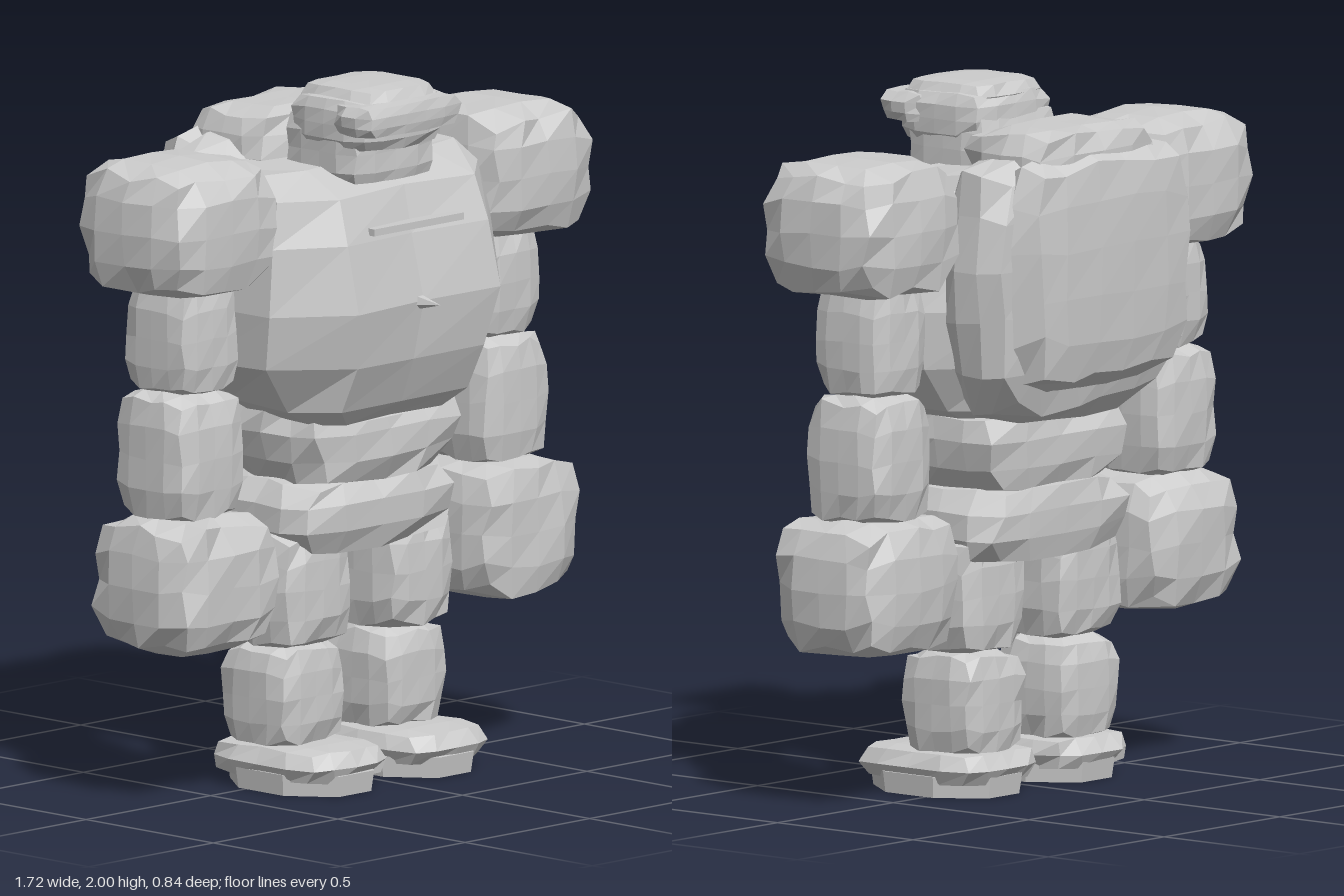
import * as THREE from 'three';
import { mergeVertices } from 'three/addons/utils/BufferGeometryUtils.js';

// Small seeded generator for the chipped surfaces
function seeded(seed) {
  let s = seed * 7919 + 17;
  return () => {
    s = (s * 16807) % 2147483647;
    return s / 2147483647;
  };
}

// Stone filling the given x, y and z ranges: calm faces, ragged edges that jut out a little
function rockGeometry([x0, x1], [y0, y1], [z0, z1], seed, o = {}) {
  const { seg = [4, 4, 4], k = 4.5, rough = 0.08, shape } = o;
  const rand = seeded(seed);
  for (let i = 0; i < 5; i++) rand();
  let g = new THREE.BoxGeometry(2, 2, 2, ...seg);
  g.deleteAttribute('uv');
  g.deleteAttribute('normal');
  g = mergeVertices(g);
  const p = g.attributes.position;
  const v = new THREE.Vector3();
  for (let i = 0; i < p.count; i++) {
    v.fromBufferAttribute(p, i);
    const r = Math.pow(Math.abs(v.x) ** k + Math.abs(v.y) ** k + Math.abs(v.z) ** k, 1 / k);
    const edge = [v.x, v.y, v.z].filter((c) => Math.abs(c) > 0.99).length > 1;
    const a = edge ? rough : rough * 0.3;
    v.multiplyScalar((edge ? 1 + rough * 0.5 : 1) / r);
    v.x += (rand() - 0.5) * 2 * a;
    v.y += (rand() - 0.5) * 2 * a;
    v.z += (rand() - 0.5) * 2 * a;
    v.set(
      x0 + ((v.x + 1) / 2) * (x1 - x0),
      y0 + ((v.y + 1) / 2) * (y1 - y0),
      z0 + ((v.z + 1) / 2) * (z1 - z0));
    if (shape) shape(v);
    p.setXYZ(i, v.x, v.y, v.z);
  }
  g = g.toNonIndexed();
  g.computeVertexNormals();
  return g;
}

// Closed skin over rings of points, listed from bottom to top
function loft(rings) {
  const n = rings[0].length;
  const pos = rings.flat(2);
  const idx = [];
  for (let r = 0; r < rings.length - 1; r++) {
    for (let i = 0; i < n; i++) {
      const a = r * n + i, b = r * n + ((i + 1) % n);
      idx.push(a, b, b + n, a, b + n, a + n);
    }
  }
  const top = (rings.length - 1) * n;
  for (let i = 1; i < n - 1; i++) {
    idx.push(0, i + 1, i);
    idx.push(top, top + i, top + i + 1);
  }
  let g = new THREE.BufferGeometry();
  g.setAttribute('position', new THREE.Float32BufferAttribute(pos, 3));
  g.setIndex(idx);
  g = g.toNonIndexed();
  g.computeVertexNormals();
  return g;
}

export function createModel() {
  const model = new THREE.Group();
  model.name = 'stoneGolem';
  const stone = new THREE.MeshStandardMaterial({ color: 0xcccccc, flatShading: true });
  stone.name = 'stone grey';

  const add = (name, geometry) => {
    const mesh = new THREE.Mesh(geometry, stone);
    mesh.name = name;
    model.add(mesh);
    return mesh;
  };
  const rock = (name, x, y, z, seed, o) => add(name, rockGeometry(x, y, z, seed, o));

  // Chest rings: [y, half width, half front width, front z, side z, back z]
  const chestRows = [
    [1.05, 0.25, 0.2, 0.22, 0.1, -0.16],
    [1.1, 0.34, 0.25, 0.27, 0.11, -0.19],
    [1.23, 0.46, 0.26, 0.32, 0.14, -0.22],
    [1.39, 0.48, 0.29, 0.35, 0.15, -0.24],
    [1.58, 0.455, 0.29, 0.315, 0.15, -0.23],
    [1.71, 0.43, 0.28, 0.28, 0.14, -0.2],
    [1.77, 0.4, 0.24, 0.11, 0.06, -0.16],
  ];
  const rand = seeded(31);
  add('chest', loft(chestRows.map(([y, w, f, zf, zs, zb]) => {
    const j = () => (rand() - 0.5) * 0.02;
    return [[-f, zf + 0.01], [0, zf - 0.01], [f, zf], [w, zs], [w, -0.08], [f, zb], [-f, zb], [-w, -0.08], [-w, zs + 0.05]]
      .map(([x, z]) => [x + j(), y + j() * 0.6, z + j()]);
  })));

  // Chest stud and bar
  const stud = add('chestStud', new THREE.ConeGeometry(0.03, 0.12, 5));
  stud.rotation.x = Math.PI / 2;
  stud.position.set(-0.005, 1.39, 0.36);
  const bar = add('chestBar', new THREE.BoxGeometry(0.36, 0.02, 0.05));
  bar.position.set(-0.005, 1.61, 0.31);

  // Back shell: rim slab, domed plate and the hump behind the head
  const taperLow = (v) => {
    const t = THREE.MathUtils.clamp((1.4 - v.y) / 0.36, 0, 1);
    v.x *= 1 - 0.22 * t * t;
    v.z += 0.04 * t * t;
  };
  rock('backRim', [-0.43, 0.44], [1.06, 1.83], [-0.34, -0.1], 4, { seg: [5, 5, 3], rough: 0.07, shape: taperLow });
  rock('backPlate', [-0.36, 0.38], [1.15, 1.85], [-0.415, -0.22], 9, { seg: [5, 5, 2], k: 4, rough: 0.05, shape: taperLow });
  rock('backHump', [-0.24, 0.28], [1.64, 1.9], [-0.37, -0.05], 12);

  // Waist and hips
  const waistTaper = (v) => { v.x *= 0.84 + 0.16 * THREE.MathUtils.clamp((v.y - 0.85) / 0.22, 0, 1); };
  rock('waist', [-0.31, 0.34], [0.85, 1.09], [-0.21, 0.21], 15, { seg: [4, 3, 4], shape: waistTaper });
  rock('hips', [-0.31, 0.32], [0.66, 0.88], [-0.22, 0.19], 18, { seg: [4, 3, 4] });

  // Head: face block, skull, brow band, cap and mouth slit
  rock('face', [-0.17, 0.17], [1.7, 1.92], [-0.04, 0.24], 21, { rough: 0.04, k: 7 });
  rock('skull', [-0.175, 0.175], [1.81, 1.975], [-0.03, 0.28], 22, { rough: 0.05, k: 5 });
  rock('brow', [-0.2, 0.19], [1.87, 1.96], [0.17, 0.325], 24, { seg: [5, 3, 3], rough: 0.06, k: 6 });
  rock('cap', [-0.15, 0.155], [1.92, 1.995], [-0.02, 0.28], 27, { seg: [4, 2, 4], rough: 0.04 });
  const mouth = add('mouth', new THREE.BoxGeometry(0.13, 0.015, 0.03));
  mouth.position.set(-0.02, 1.84, 0.235);

  // Limbs, once on each side
  [['left', 1], ['right', -1]].forEach(([side, s], n) => {
    const seed = 40 + n * 23;
    const limb = (name, a, b, y, z, i, o) =>
      rock(side + name, s > 0 ? [a, b] : [-b, -a], y, z, seed + i, o);
    limb('Shoulder', 0.41, 0.86, [1.46, 1.845], [-0.22, 0.225], 1, { k: 3.5 });
    limb('UpperArm', 0.485, 0.73, [1.17, 1.5], [-0.135, 0.115], 2, { rough: 0.06 });
    limb('Forearm', 0.475, 0.75, [0.81, 1.18], [-0.15, 0.13], 3, { rough: 0.06 });
    limb('Fist', 0.4, 0.82, [0.435, 0.83], [-0.195, 0.205], 4, { k: 3.8 });
    limb('Thigh', 0.065, 0.345, [0.4, 0.74], [-0.14, 0.155], 5, { rough: 0.07 });
    limb('Shin', 0.07, 0.34, [0.11, 0.41], [-0.14, 0.13], 6, { rough: 0.06 });
    limb('Foot', 0.03, 0.375, [0.03, 0.13], [-0.175, 0.285], 7, { seg: [4, 2, 4], k: 4, rough: 0.05 });
    // flat eight-sided sole
    const sole = add(side + 'Sole', new THREE.CylinderGeometry(1, 0.96, 0.06, 8));
    sole.geometry.rotateY(Math.PI / 8);
    sole.scale.set(0.18, 1, 0.24);
    sole.position.set(s * 0.2, 0.03, 0.06);
  });

  return model;
}
